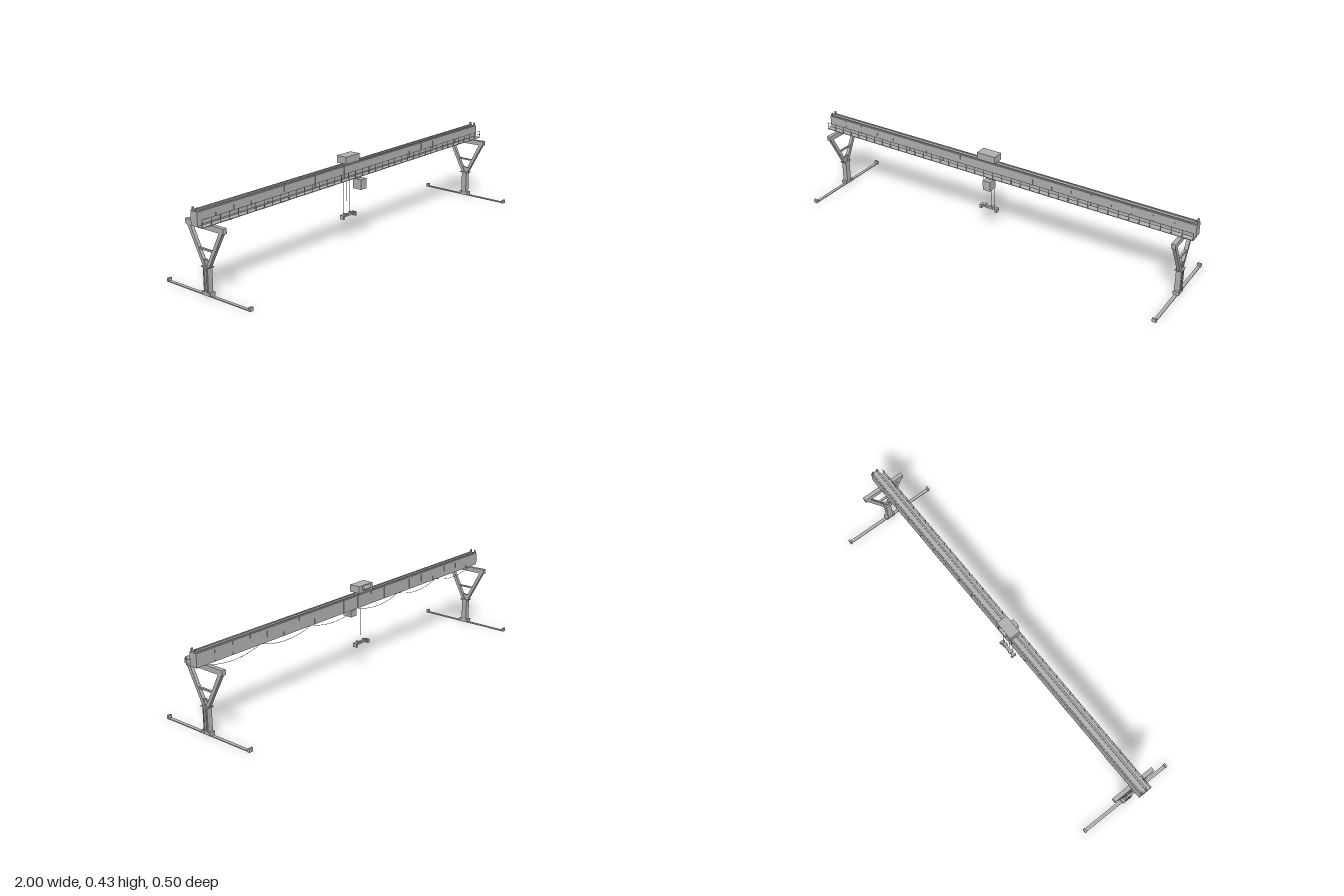
import * as THREE from 'three';

export function createModel() {
  const root = new THREE.Group();
  root.name = 'gantryCrane';
  const steel = new THREE.MeshStandardMaterial({ color: 0xb0b0b0 });
  steel.name = 'grey steel';

  const add = (parent, name, geo, x = 0, y = 0, z = 0) => {
    const m = new THREE.Mesh(geo, steel);
    m.name = name;
    m.position.set(x, y, z);
    parent.add(m);
    return m;
  };
  // Box given by its limits on each axis
  const box = (parent, name, x0, x1, y0, y1, z0, z1) =>
    add(parent, name, new THREE.BoxGeometry(x1 - x0, y1 - y0, z1 - z0),
      (x0 + x1) / 2, (y0 + y1) / 2, (z0 + z1) / 2);
  const group = (name) => {
    const g = new THREE.Group();
    g.name = name;
    root.add(g);
    return g;
  };
  // Flat (z, y) outline extruded along x
  const plate = (points, depth) => {
    const shape = new THREE.Shape(points.map(([z, y]) => new THREE.Vector2(z, y)));
    const g = new THREE.ExtrudeGeometry(shape, { depth, bevelEnabled: false });
    return g.translate(0, 0, -depth / 2).rotateY(-Math.PI / 2);
  };

  // Main girder with stiffeners, crane rails and end stops
  const girder = group('girder');
  box(girder, 'girderBeam', -1, 1, 0.318, 0.38, -0.0195, 0.0195);
  for (let i = -9; i <= 9; i++) {
    for (const s of [-1, 1]) {
      add(girder, 'girderStiffener', new THREE.BoxGeometry(0.002, 0.06, 0.001), i * 0.1, 0.349, s * 0.02);
    }
  }
  for (const s of [-1, 1]) {
    box(girder, 'craneRail', -1, 1, 0.38, 0.385, s * 0.012 - 0.002, s * 0.012 + 0.002);
    for (const e of [-1, 1]) {
      box(girder, 'railStop', e * 0.993 - 0.004, e * 0.993 + 0.004, 0.38, 0.396, s * 0.012 - 0.003, s * 0.012 + 0.003);
    }
  }

  // Walkway along the front
  const walkway = group('walkway');
  box(walkway, 'walkwayFloor', -1, 1, 0.317, 0.32, 0.0195, 0.046);
  for (let i = 0; i <= 40; i++) {
    const x = -0.998 + i * 0.0499;
    box(walkway, 'railingPost', x - 0.001, x + 0.001, 0.32, 0.354, 0.044, 0.046);
  }
  for (const y of [0.337, 0.353]) {
    box(walkway, 'handrail', -1, 1, y - 0.0008, y + 0.0008, 0.0442, 0.0458);
  }

  // Two end supports, mirrored in x
  for (const side of [-1, 1]) {
    const leg = group(side > 0 ? 'leftSupport' : 'rightSupport');
    leg.position.x = side * 0.94;
    box(leg, 'groundRail', -0.008, 0.008, 0, 0.004, -0.245, 0.245);
    box(leg, 'bogie', -0.014, 0.014, 0.004, 0.02, -0.026, 0.026);
    for (const z of [-0.016, 0.016]) {
      const wheel = add(leg, 'bogieWheel', new THREE.CylinderGeometry(0.007, 0.007, 0.03, 16), 0, 0.011, z);
      wheel.rotation.z = Math.PI / 2;
    }
    box(leg, 'lowerColumn', -0.013, 0.013, 0.02, 0.13, -0.014, 0.014);
    box(leg, 'columnFlange', -0.016, 0.016, 0.127, 0.131, -0.023, 0.023);
    box(leg, 'gussetPlate', -0.004, 0.004, 0.131, 0.157, -0.015, 0.015);
    box(leg, 'topBeam', -0.01, 0.01, 0.293, 0.3165, -0.113, 0.113);
    box(leg, 'crossTie', -0.005, 0.005, 0.198, 0.205, -0.042, 0.042);
    for (const s of [-1, 1]) {
      const outline = [[0.106, 0.294], [0.019, 0.13], [0.002, 0.13], [0.086, 0.294]].map(([z, y]) => [s * z, y]);
      add(leg, 'diagonalLeg', plate(outline, 0.016));
      box(leg, 'railEndStop', -0.01, 0.01, 0, 0.017, s * 0.2475 - 0.005, s * 0.2475 + 0.005);
      box(leg, 'legCollar', -0.009, 0.009, 0.155, 0.158, s * 0.0165 - 0.007, s * 0.0165 + 0.007);
      // Ladder on the outer face
      const x = side * 0.0145;
      box(leg, 'ladderStile', x - 0.0015, x + 0.0015, 0.02, 0.127, s * 0.008 - 0.001, s * 0.008 + 0.001);
    }
    for (let i = 0; i < 10; i++) {
      add(leg, 'ladderRung', new THREE.BoxGeometry(0.0015, 0.0015, 0.016), side * 0.0145, 0.028 + i * 0.01, 0);
    }
  }

  // Trolley with wheels and a round motor at the back
  const trolley = group('trolley');
  box(trolley, 'trolleyHousing', -0.098, 0, 0.391, 0.425, -0.028, 0.028);
  const motor = add(trolley, 'motor', new THREE.CylinderGeometry(0.01, 0.01, 0.05, 24), -0.05, 0.411, -0.0285);
  motor.rotation.z = Math.PI / 2;
  for (const x of [-0.082, -0.016]) {
    for (const z of [-0.013, 0.013]) {
      const wheel = add(trolley, 'trolleyWheel', new THREE.CylinderGeometry(0.005, 0.005, 0.006, 16), x, 0.389, z);
      wheel.rotation.x = Math.PI / 2;
    }
  }

  // Operator cabin under the walkway
  const cabin = group('cabin');
  box(cabin, 'cabinBody', -0.04, 0, 0.263, 0.312, 0.021, 0.07);
  box(cabin, 'cabinHanger', -0.03, -0.01, 0.31, 0.318, 0.024, 0.044);

  // Hoist ropes and lifting beam
  const hoist = group('hoist');
  for (const x of [-0.072, -0.028]) {
    for (const z of [-0.011, 0.011]) {
      add(hoist, 'hoistRope', new THREE.CylinderGeometry(0.0008, 0.0008, 0.183, 6), x, 0.2275, z);
    }
    box(hoist, 'ropeBlock', x - 0.006, x + 0.006, 0.135, 0.14, -0.012, 0.012);
  }
  box(hoist, 'liftingBeam', -0.096, -0.002, 0.126, 0.136, -0.007, 0.007);
  for (const x of [-0.092, -0.006]) {
    box(hoist, 'liftingBeamEnd', x - 0.005, x + 0.005, 0.117, 0.136, -0.012, 0.012);
  }

  // Power cable hanging in loops beneath the girder
  const cable = group('festoonCable');
  const span = 1.9 / 6;
  for (let i = 0; i < 6; i++) {
    const pts = [];
    for (let k = 0; k <= 8; k++) {
      const t = k / 8;
      pts.push(new THREE.Vector3(-0.95 + (i + t) * span, 0.318 - 0.108 * t * (1 - t), -0.013));
    }
    add(cable, 'cableLoop', new THREE.TubeGeometry(new THREE.CatmullRomCurve3(pts), 24, 0.001, 6));
  }
  return root;
}
